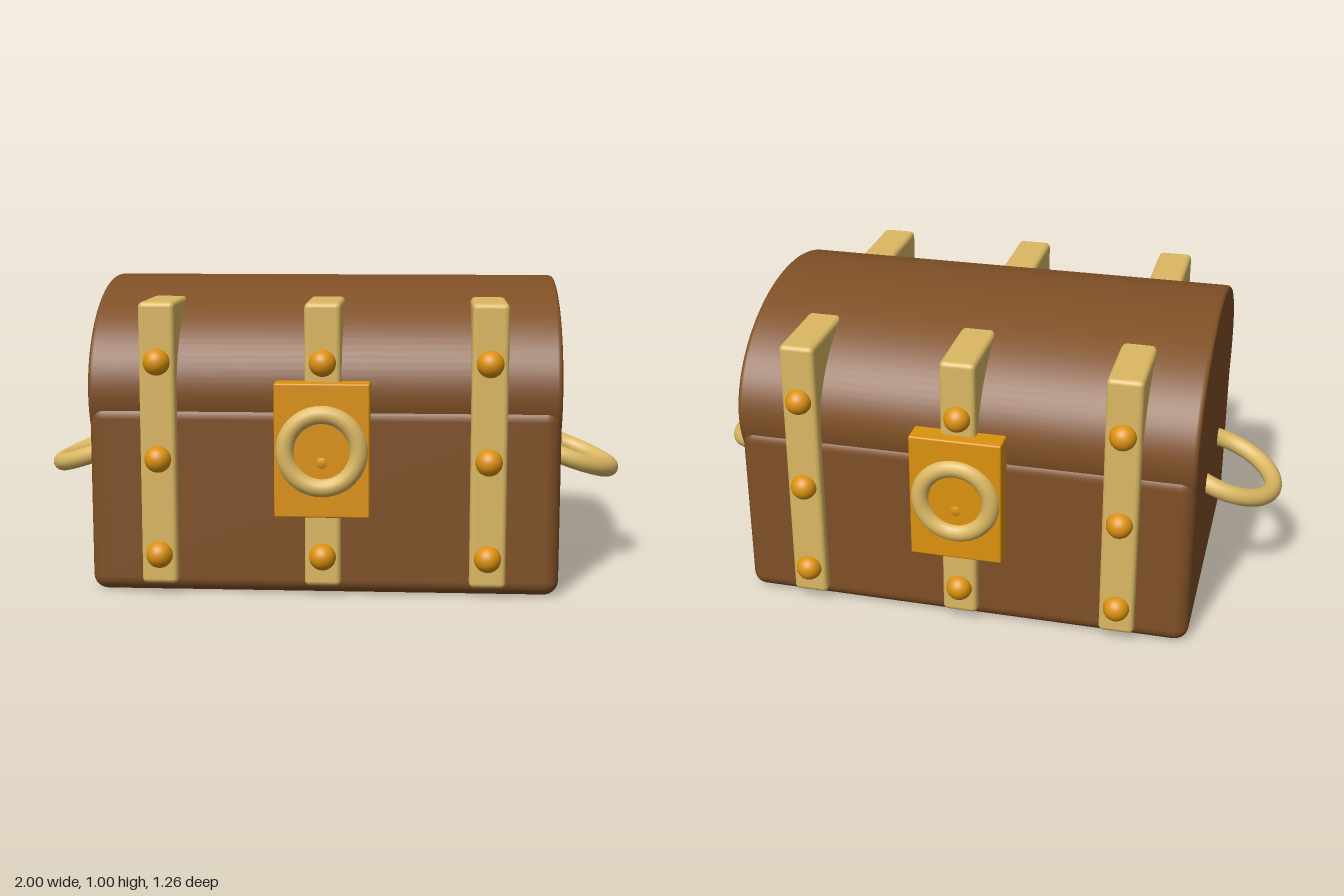
import * as THREE from 'three';
import { RoundedBoxGeometry } from 'three/addons/geometries/RoundedBoxGeometry.js';

const material = (name, color) => {
  const m = new THREE.MeshStandardMaterial({ color });
  m.name = name;
  return m;
};

export function createModel() {
  const chest = new THREE.Group();
  chest.name = 'treasureChest';
  const wood = material('brown wood', 0x805026);
  const strapping = material('pale brass', 0xdcb863);
  const gold = material('gold', 0xdd920e);

  const add = (name, geometry, mat, x, y, z) => {
    const mesh = new THREE.Mesh(geometry, mat);
    mesh.name = name;
    mesh.position.set(x, y, z);
    chest.add(mesh);
    return mesh;
  };

  // Wooden box with softened edges
  add('body', new RoundedBoxGeometry(1.514, 0.615, 1.07, 4, 0.048), wood, 0, 0.3075, 0);

  // Barrel lid: elliptical drum lying along x, with small rounded rims
  const half = 0.757, bevel = 0.016;
  const profile = [new THREE.Vector2(0, -half), new THREE.Vector2(0.5, -half)];
  for (const side of [-1, 1]) {
    for (let i = 0; i <= 4; i++) {
      const a = side * (side < 0 ? 1 - i / 4 : i / 4) * Math.PI / 2;
      profile.push(new THREE.Vector2(
        0.535 - bevel + bevel * Math.cos(a),
        side * (half - bevel) + bevel * Math.sin(a)));
    }
  }
  profile.push(new THREE.Vector2(0.5, half), new THREE.Vector2(0, half));
  const drum = new THREE.LatheGeometry(profile, 96);
  drum.rotateZ(Math.PI / 2);
  drum.scale(1, 0.35 / 0.535, 1);
  add('lid', drum, wood, 0, 0.65, 0);

  // Upright straps, each with three rivets front and back
  const strap = new RoundedBoxGeometry(0.116, 0.91, 1.134, 3, 0.016);
  const rivet = new THREE.SphereGeometry(0.043, 24, 16);
  for (const x of [-0.526, 0, 0.526]) {
    add('strap', strap, strapping, x, 0.49, 0);
    for (const y of [0.132, 0.444, 0.756]) {
      for (const side of [-1, 1]) add('rivet', rivet, gold, x, y, side * 0.567);
    }
  }

  // Lock plate and ring, front and back
  const plate = new RoundedBoxGeometry(0.302, 0.428, 0.1, 2, 0.006);
  const ring = new THREE.TorusGeometry(0.117, 0.03, 16, 48);
  for (const side of [-1, 1]) {
    add('lockPlate', plate, gold, 0, 0.482, side * 0.556);
    add('lockRing', ring, strapping, 0, 0.481, side * 0.6);
  }

  // Drooping ring handles, partly sunk into the end walls
  const handle = new THREE.TorusGeometry(0.18, 0.031, 16, 64);
  handle.rotateX(Math.PI / 2);
  for (const side of [-1, 1]) {
    const mesh = add(side > 0 ? 'leftHandle' : 'rightHandle', handle, strapping, side * 0.8, 0.397, 0);
    mesh.rotation.z = -side * 0.35;
  }

  return chest;
}
